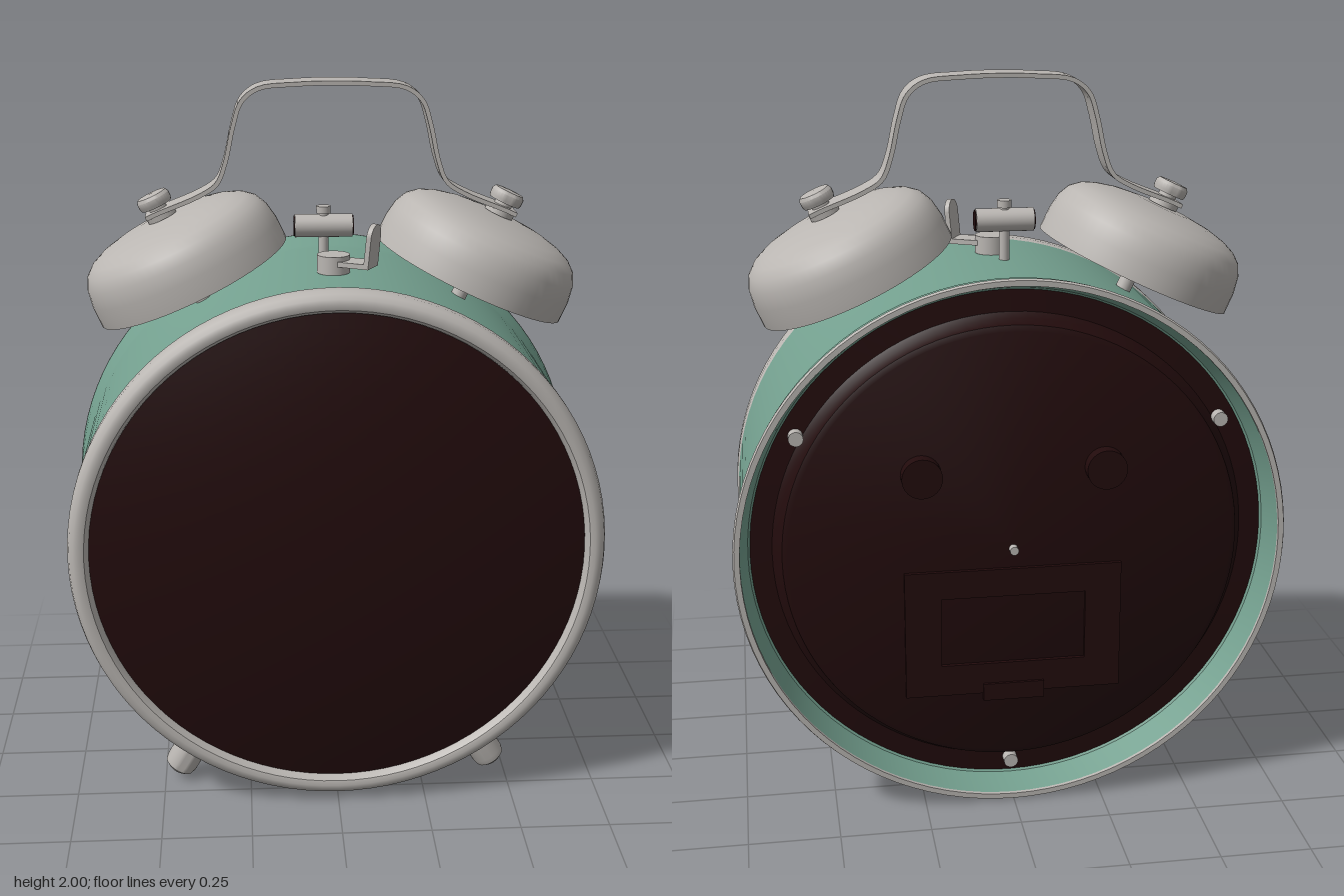
import * as THREE from 'three';
import { toCreasedNormals } from 'three/addons/utils/BufferGeometryUtils.js';

const material = (name, color, side = THREE.FrontSide) => {
  const m = new THREE.MeshStandardMaterial({ color, side });
  m.name = name;
  return m;
};

export function createModel() {
  const green = material('enamel green', 0x74a08f);
  const silver = material('brushed silver', 0xbab6b2, THREE.DoubleSide);
  const dark = material('dark brown', 0x220b0c);

  const clock = new THREE.Group();
  clock.name = 'alarmClock';
  const CY = 0.755; // height of the case centre
  const BZ = -0.037; // depth of the bells and handle

  const add = (parent, name, geometry, mat, x = 0, y = 0, z = 0) => {
    const mesh = new THREE.Mesh(geometry, mat);
    mesh.name = name;
    mesh.position.set(x, y, z);
    parent.add(mesh);
    return mesh;
  };
  const lathe = (points, segments = 96) =>
    toCreasedNormals(new THREE.LatheGeometry(points.map(p => new THREE.Vector2(...p)), segments), 0.6);
  // Turned parts around the front-back axis: points are [radius, z]
  const turned = (name, points, mat) => add(clock, name, lathe(points).rotateX(Math.PI / 2), mat, 0, CY);
  const rod = (r, h, segments = 32) => new THREE.CylinderGeometry(r, r, h, segments);
  const disc = (r, h) => rod(r, h).rotateX(Math.PI / 2);

  // Case with a flared, hollow back
  turned('case', [
    [0.69, -0.27], [0.715, -0.29], [0.738, -0.368], [0.755, -0.368], [0.75, -0.33],
    [0.738, -0.285], [0.735, -0.26], [0.735, 0.25], [0.68, 0.25],
  ], green);
  turned('backLip', [[0.737, -0.365], [0.737, -0.376], [0.752, -0.376], [0.756, -0.366]], silver);

  // Front bezel and domed glass
  turned('bezel', [
    [0.68, 0.25], [0.735, 0.25], [0.74, 0.262], [0.74, 0.295], [0.734, 0.314], [0.722, 0.326],
    [0.707, 0.33], [0.693, 0.326], [0.684, 0.315], [0.68, 0.30],
  ], silver);
  const dome = [];
  for (let i = 0; i <= 16; i++) {
    const r = 0.684 * (1 - i / 16);
    dome.push([r, 0.38 - 0.16 * r * r]);
  }
  turned('faceGlass', dome, dark);

  // Back panel with raised centre
  turned('backPanel', [
    [0, -0.345], [0.61, -0.345], [0.625, -0.338], [0.635, -0.305], [0.65, -0.29], [0.715, -0.285],
  ], dark);
  for (const s of [-1, 1]) add(clock, 'settingKnob', disc(0.055, 0.05), dark, s * 0.25, 0.98, -0.357);
  add(clock, 'centrePin', disc(0.012, 0.03), silver, 0, CY, -0.352);
  for (let i = 0; i < 3; i++) {
    const a = -Math.PI / 2 + i * Math.PI * 2 / 3;
    add(clock, 'panelScrew', disc(0.02, 0.04), silver, 0.665 * Math.cos(a), CY + 0.665 * Math.sin(a), -0.3);
  }

  // Battery cover: frame, door and finger tab
  const frame = new THREE.Shape().moveTo(-0.3, 0.33).lineTo(0.3, 0.33).lineTo(0.3, 0.7).lineTo(-0.3, 0.7).closePath();
  frame.holes.push(new THREE.Path().moveTo(-0.2, 0.42).lineTo(-0.2, 0.62).lineTo(0.2, 0.62).lineTo(0.2, 0.42).closePath());
  add(clock, 'batteryFrame', new THREE.ExtrudeGeometry(frame, { depth: 0.012, bevelEnabled: false }), dark, 0, 0, -0.356);
  add(clock, 'batteryTab', new THREE.BoxGeometry(0.17, 0.05, 0.015), dark, 0, 0.335, -0.356);

  // Bells, stems, nuts and feet on both sides
  const bellProfile = [
    [0, 0.183], [0.09, 0.181], [0.17, 0.168], [0.228, 0.145], [0.26, 0.112], [0.272, 0.07], [0.275, 0],
    [0.285, 0], [0.284, 0.06], [0.276, 0.105], [0.26, 0.137], [0.235, 0.158], [0.2, 0.173],
    [0.15, 0.185], [0.08, 0.193], [0, 0.195],
  ];
  for (const s of [-1, 1]) {
    const bell = new THREE.Group();
    bell.name = s > 0 ? 'leftBell' : 'rightBell';
    bell.position.set(s * 0.385, 1.45, BZ);
    bell.rotation.z = -s * 0.43;
    add(bell, 'bellShell', lathe(bellProfile, 64), silver);
    add(bell, 'bellStem', rod(0.022, 0.32), silver, 0, 0.03);
    add(bell, 'washer', rod(0.042, 0.016), silver, 0, 0.203);
    add(bell, 'neck', rod(0.025, 0.05), silver, 0, 0.225);
    add(bell, 'nut', lathe([[0, 0.232], [0.044, 0.232], [0.047, 0.24], [0.047, 0.256], [0.041, 0.265], [0, 0.268]], 32), silver);
    clock.add(bell);

    const foot = add(clock, s > 0 ? 'leftFoot' : 'rightFoot', lathe([
      [0, -0.1], [0.03, -0.097], [0.043, -0.087], [0.047, -0.07], [0.047, 0.07], [0, 0.07],
    ], 32), silver, s * 0.415, 0.11, 0.16);
    foot.rotation.z = s * 0.54;
  }

  // Handle: a bent flat strip
  const half = [[0.51, 1.631], [0.475, 1.647], [0.365, 1.692], [0.315, 1.725], [0.29, 1.785], [0.268, 1.88],
    [0.245, 1.945], [0.2, 1.98], [0.1, 1.991]];
  const path = [...half.map(([x, y]) => [-x, y]), [0, 1.994], ...half.reverse()];
  const curve = new THREE.CatmullRomCurve3(path.map(([x, y]) => new THREE.Vector3(x, y, 0)));
  const top = [], bottom = [];
  for (let i = 0; i <= 80; i++) {
    const p = curve.getPoint(i / 80), t = curve.getTangent(i / 80);
    top.push(new THREE.Vector2(p.x - t.y * 0.006, p.y + t.x * 0.006));
    bottom.unshift(new THREE.Vector2(p.x + t.y * 0.006, p.y - t.x * 0.006));
  }
  const strip = new THREE.ExtrudeGeometry(new THREE.Shape([...top, ...bottom]), { depth: 0.094, bevelEnabled: false });
  add(clock, 'handle', toCreasedNormals(strip, 0.6), silver, 0, 0, BZ - 0.047);

  // Hammer between the bells
  add(clock, 'hammerStem', rod(0.014, 0.17), silver, -0.022, 1.555, BZ);
  add(clock, 'hammerCap', rod(0.02, 0.02), silver, -0.022, 1.645, BZ);
  add(clock, 'hammerHead', rod(0.032, 0.16).rotateZ(Math.PI / 2), silver, -0.022, 1.6, BZ);
  for (const s of [-1, 1]) {
    add(clock, 'hammerEnd', rod(0.028, 0.006).rotateZ(Math.PI / 2), dark, -0.022 + s * 0.08, 1.6, BZ);
  }

  // Alarm lever: round base with an upturned tab
  const lever = new THREE.Group();
  lever.name = 'alarmLever';
  lever.position.set(0, 1.5, 0.062);
  lever.rotation.y = -0.48;
  add(lever, 'leverBase', rod(0.045, 0.05), silver, 0, 0.015);
  add(lever, 'leverArm', new THREE.BoxGeometry(0.11, 0.014, 0.07), silver, 0.055, 0.02);
  const tab = new THREE.Shape().moveTo(-0.035, 0).lineTo(0.035, 0).lineTo(0.035, 0.085);
  tab.absarc(0, 0.085, 0.035, 0, Math.PI);
  tab.closePath();
  const tabGeometry = new THREE.ExtrudeGeometry(tab, { depth: 0.014, bevelEnabled: false }).rotateY(Math.PI / 2);
  add(lever, 'leverTab', tabGeometry, silver, 0.103, 0.014).rotation.z = -0.1;
  clock.add(lever);

  return clock;
}
